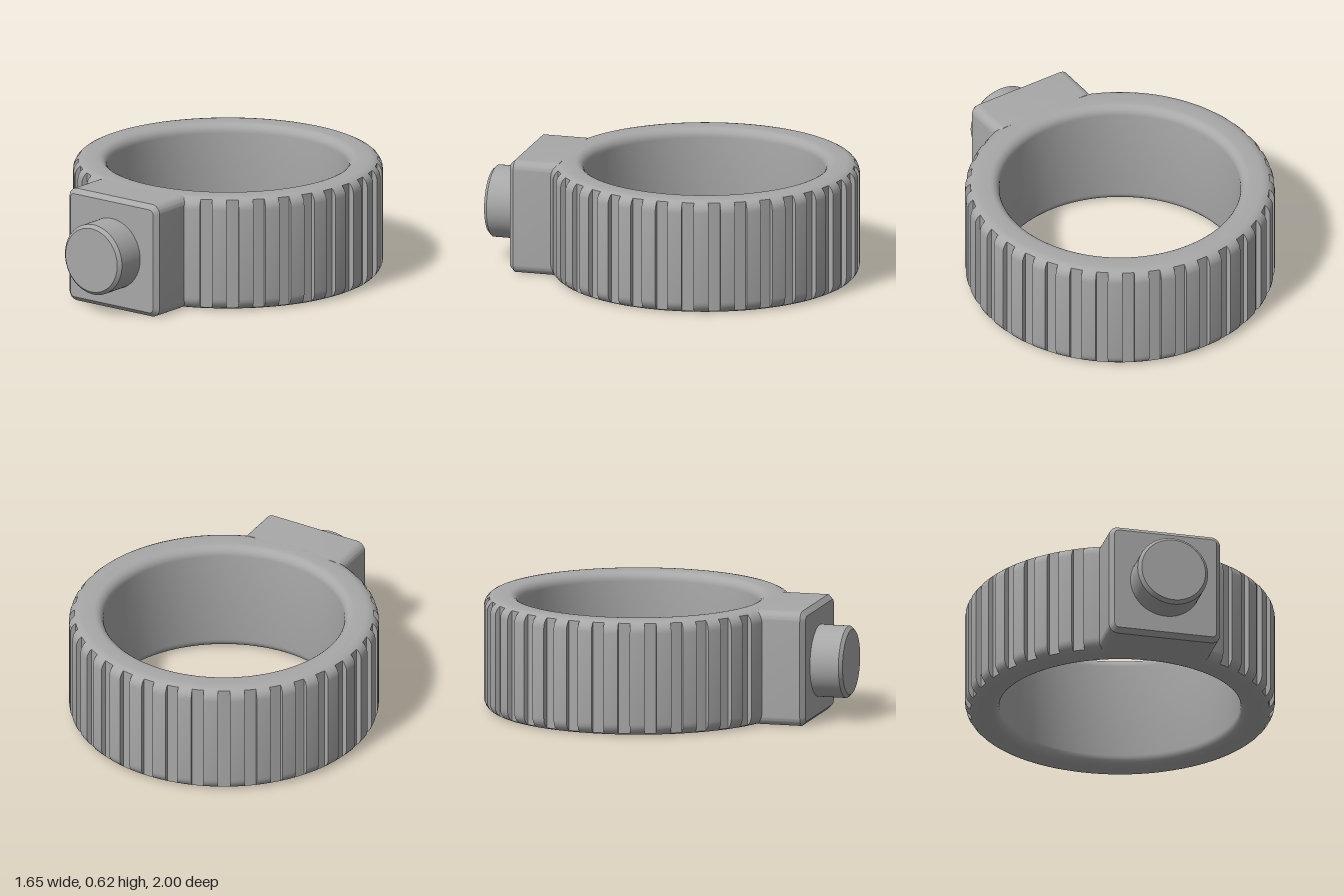
import * as THREE from 'three';
import { toCreasedNormals } from 'three/addons/utils/BufferGeometryUtils.js';

const HEIGHT = 0.62;
const RING_Z = -0.175;
const OUTER = 0.825, INNER = 0.642, FLOOR = 0.797;
const FILLET = 0.065, INNER_FILLET = 0.05;
const PITCH = Math.PI / 18;            // 36 grooves round the ring
const HALF_GROOVE = PITCH * 0.225;

// Closed [radius, y] section: up the outside, over the top, down the inside
function ringSection() {
  const floorAngle = Math.acos((FLOOR - OUTER + FILLET) / FILLET);
  const angles = [0, 0.25, 0.5, 0.74, floorAngle, 1.26, Math.PI / 2];
  const top = angles.map(a => [
    OUTER - FILLET * (1 - Math.cos(a)),
    HEIGHT - FILLET * (1 - Math.sin(a)),
  ]);
  for (let i = 0; i <= 6; i++) {
    const a = (i / 6) * Math.PI / 2;
    top.push([
      INNER + INNER_FILLET * (1 - Math.sin(a)),
      HEIGHT - INNER_FILLET * (1 - Math.cos(a)),
    ]);
  }
  const bottom = top.map(([r, y]) => [r, HEIGHT - y]).reverse();
  return [...top, ...bottom];
}

// Sweep the section round the axis, clamping its radius inside each groove
function grooveRing() {
  const section = ringSection();
  const columns = [];
  const addColumn = (angle, cut) => columns.push(section.map(([r, y]) => {
    const radius = cut ? Math.min(r, FLOOR + 1e-6) : r;
    return new THREE.Vector3(radius * Math.cos(angle), y, radius * Math.sin(angle));
  }));

  for (let k = 0; k < 36; k++) {
    const a = k * PITCH;
    const grooved = k < 7 || k > 11;   // plain where the block joins
    addColumn(a - HALF_GROOVE, false);
    if (grooved) addColumn(a - HALF_GROOVE, true);
    addColumn(a, grooved);
    if (grooved) addColumn(a + HALF_GROOVE, true);
    addColumn(a + HALF_GROOVE, false);
    addColumn(a + PITCH / 2, false);
  }

  const positions = [];
  const triangle = new THREE.Triangle();
  const addFace = (a, b, c) => {
    if (triangle.set(a, b, c).getArea() < 1e-8) return;
    for (const p of [a, b, c]) positions.push(p.x, p.y, p.z);
  };
  columns.forEach((A, c) => {
    const B = columns[(c + 1) % columns.length];
    for (let i = 0; i < section.length; i++) {
      const j = (i + 1) % section.length;
      addFace(A[i], A[j], B[i]);
      addFace(A[j], B[j], B[i]);
    }
  });
  const geometry = new THREE.BufferGeometry();
  geometry.setAttribute('position', new THREE.Float32BufferAttribute(positions, 3));
  return toCreasedNormals(geometry, 0.5);
}

// Rounded rectangle with a chamfered front edge
function blockGeometry() {
  const w = 0.305, h = HEIGHT / 2, r = 0.05, chamfer = 0.025;
  const shape = new THREE.Shape();
  shape.absarc(w - r, h - r, r, 0, Math.PI / 2);
  shape.absarc(-w + r, h - r, r, Math.PI / 2, Math.PI);
  shape.absarc(-w + r, -h + r, r, Math.PI, Math.PI * 1.5);
  shape.absarc(w - r, -h + r, r, Math.PI * 1.5, Math.PI * 2);
  const geometry = new THREE.ExtrudeGeometry(shape, {
    depth: 0.245, curveSegments: 6, bevelSegments: 1,
    bevelThickness: chamfer, bevelSize: chamfer, bevelOffset: -chamfer,
  });
  return toCreasedNormals(geometry, 0.5);
}

// Short round knob with a chamfered rim
function knobGeometry() {
  const r = 0.193, length = 0.2, chamfer = 0.018;
  const profile = [
    [r, 0], [r, length - chamfer], [r - chamfer, length], [0, length],
  ].map(([x, y]) => new THREE.Vector2(x, y));
  const geometry = new THREE.LatheGeometry(profile, 64);
  geometry.rotateX(Math.PI / 2);
  return toCreasedNormals(geometry, 0.5);
}

export function createModel() {
  const model = new THREE.Group();
  model.name = 'groovedCollar';
  const grey = new THREE.MeshStandardMaterial({ color: 0xa8a8a8 });
  grey.name = 'grey';

  const add = (name, geometry, y, z) => {
    const mesh = new THREE.Mesh(geometry, grey);
    mesh.name = name;
    mesh.position.set(0, y, z);
    model.add(mesh);
  };

  add('groovedRing', grooveRing(), 0, RING_Z);
  add('mountingBlock', blockGeometry(), HEIGHT / 2, 0.555);
  add('knob', knobGeometry(), HEIGHT / 2, 0.8);
  return model;
}
